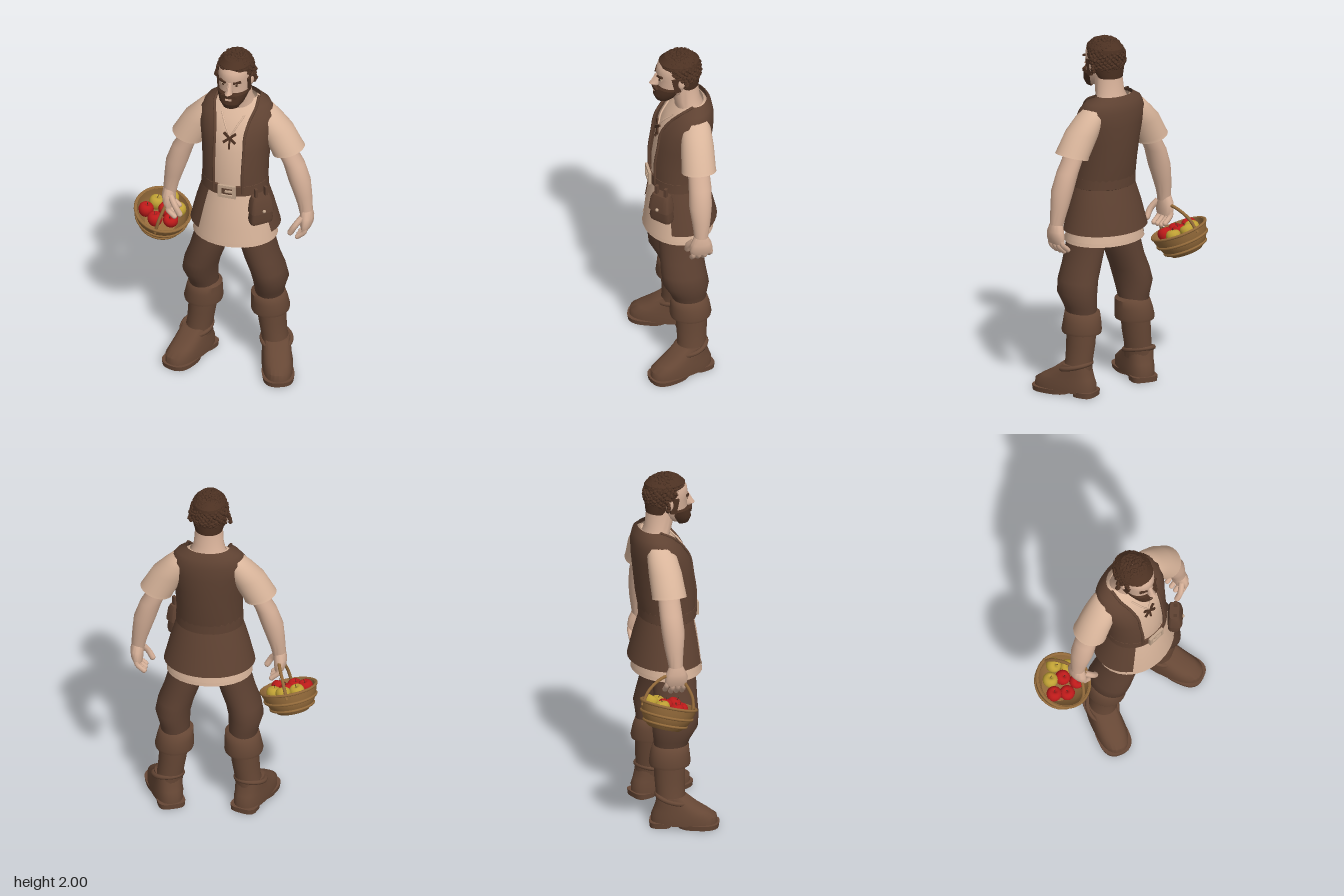
import * as THREE from 'three';
import { mergeGeometries, toCreasedNormals } from 'three/addons/utils/BufferGeometryUtils.js';

const material = (name, color, side = THREE.FrontSide) => {
  const m = new THREE.MeshStandardMaterial({ color, side });
  m.name = name;
  return m;
};
const M = {
  skin: material('skin', 0xd6b098),
  linen: material('linen', 0xd9b59b, THREE.DoubleSide),
  leather: material('leather', 0x5f4232, THREE.DoubleSide),
  trousers: material('trousers', 0x5c4031),
  boot: material('boot leather', 0x664735, THREE.DoubleSide),
  hair: material('hair', 0x4c3122, THREE.DoubleSide),
  wicker: material('wicker', 0x936a3a, THREE.DoubleSide),
  red: material('red apple', 0xbd1a1a),
  yellow: material('yellow apple', 0xbfa034),
  buckle: material('buckle', 0xc2a58c),
};

const TAU = Math.PI * 2;

function add(parent, name, geometry, mat, pos = [0, 0, 0], rot = [0, 0, 0]) {
  const mesh = new THREE.Mesh(geometry, mat);
  mesh.name = name;
  mesh.position.set(...pos);
  mesh.rotation.set(...rot);
  parent.add(mesh);
  return mesh;
}

// Skin through elliptical rings listed bottom to top: [x, y, z, rx, rz, startAngle, endAngle, tilt]
// Angle 0 points to the front and grows towards +x; s = -1 mirrors the path.
function loft(rings, { s = 1, caps = false, power = 1, seg = 28, crease = 0.9 } = {}) {
  const pos = [], idx = [], row = seg + 1;
  const bend = v => Math.sign(v) * Math.abs(v) ** power;
  for (const [x, y, z, rx, rz, a = 0, b = TAU, tilt = 0] of rings) {
    for (let j = 0; j <= seg; j++) {
      const t = a + (b - a) * j / seg, dx = rx * bend(Math.sin(t));
      pos.push(x * s + dx, y + tilt * s * dx, z + rz * bend(Math.cos(t)));
    }
  }
  for (let i = 0; i < rings.length - 1; i++) for (let j = 0; j < seg; j++) {
    const p = i * row + j, q = p + row;
    idx.push(p, p + 1, q + 1, p, q + 1, q);
  }
  if (caps) {
    const n = rings.length, c = pos.length / 3, top = (n - 1) * row;
    for (const [x, y, z] of [rings[0], rings[n - 1]]) pos.push(x * s, y, z);
    for (let j = 0; j < seg; j++) idx.push(c, j + 1, j, c + 1, top + j, top + j + 1);
  }
  const g = new THREE.BufferGeometry();
  g.setAttribute('position', new THREE.Float32BufferAttribute(pos, 3));
  g.setIndex(idx);
  return toCreasedNormals(g, crease);
}

const tube = (points, r, seg = 12) => new THREE.TubeGeometry(
  new THREE.CatmullRomCurve3(points.map(p => new THREE.Vector3(...p))), seg, r, 8);

function addTorso(body) {
  const torso = [[0, 1.17, .025, .165, .135], [0, 1.3, .015, .165, .148], [0, 1.42, 0, .175, .145],
    [0, 1.52, -.015, .19, .14], [0, 1.6, -.04, .19, .115], [0, 1.645, -.055, .155, .09], [0, 1.68, -.06, .1, .06]];
  add(body, 'shirt', loft(torso), M.linen);
  add(body, 'shirtSkirt', loft([[0, .85, .02, .232, .19], [0, .95, .022, .215, .178],
    [0, 1.07, .025, .19, .158], [0, 1.18, .025, .165, .137]]), M.linen);
  add(body, 'shirtHem', loft([[0, .848, .02, .236, .194], [0, .868, .02, .233, .192]]), M.linen);

  // Open vest follows the shirt a little further out
  const open = [.46, .46, .45, .42, .5, .75, 1.35];
  const vest = torso.map(([x, y, z, rx, rz], i) =>
    [x, y + (i > 4 ? .012 : .005), z, rx + .018, rz + .018, open[i], TAU - open[i]]);
  add(body, 'vest', loft(vest), M.leather);
  for (const s of [-1, 1]) {
    const edge = vest.map(([, y, z, rx, rz, a]) => [s * rx * Math.sin(a), y, z + rz * Math.cos(a)]);
    add(body, 'vestEdge', tube(edge, .008, 30), M.leather);
  }
  add(body, 'vestSkirt', loft([[0, .915, .015, .25, .207, 1.15, TAU - .72], [0, 1.05, .02, .216, .18, 1.1, TAU - .7],
    [0, 1.17, .025, .18, .15, .95, TAU - .68]]), M.leather);

  // Belt and square buckle
  add(body, 'belt', loft([[0, 1.155, .025, .178, .15], [0, 1.16, .025, .186, .158],
    [0, 1.218, .023, .184, .158], [0, 1.223, .023, .176, .15]]), M.leather);
  const frame = new THREE.Shape([[-.05, -.038], [.05, -.038], [.05, .038], [-.05, .038]].map(p => new THREE.Vector2(...p)));
  frame.holes.push(new THREE.Path([[-.033, -.022], [-.033, .022], [.033, .022], [.033, -.022]].map(p => new THREE.Vector2(...p))));
  add(body, 'buckle', new THREE.ExtrudeGeometry(frame, { depth: .015, bevelEnabled: false }), M.buckle, [0, 1.19, .177]);
  add(body, 'bucklePin', new THREE.BoxGeometry(.05, .01, .012), M.buckle, [.015, 1.19, .186]);

  // Neck lacing
  for (const r of [-.7, .7]) add(body, 'lace', new THREE.BoxGeometry(.09, .014, .008), M.hair, [0, 1.505, .133], [-.2, 0, r]);
  add(body, 'laceEnd', new THREE.BoxGeometry(.009, .06, .008), M.hair, [0, 1.47, .139], [-.2, 0, 0]);
  for (const s of [-1, 1]) add(body, 'neckline', tube([[s * .065, 1.62, .058], [s * .03, 1.565, .108], [0, 1.51, .128]], .005), M.linen);

  // Belt pouch
  const pouch = new THREE.Group();
  pouch.name = 'pouch';
  pouch.position.set(.18, 1.09, .145);
  pouch.rotation.y = .75;
  add(pouch, 'pouchBag', loft([[0, -.085, 0, .062, .03], [0, -.06, 0, .067, .036], [0, .07, 0, .05, .025]],
    { caps: true, power: .45 }), M.leather);
  add(pouch, 'pouchFlap', loft([[0, -.01, .004, .068, .042], [0, .06, .002, .06, .035], [0, .085, 0, .05, .026]],
    { caps: true, power: .45 }), M.leather);
  add(pouch, 'pouchButton', new THREE.SphereGeometry(.01, 10, 8), M.buckle, [0, .005, .046]);
  for (const x of [-.03, .03]) add(pouch, 'pouchStrap', new THREE.BoxGeometry(.016, .07, .02), M.leather, [x, .1, .005]);
  body.add(pouch);
}

function addArm(body, s) {
  add(body, 'sleeve', loft([[.285, 1.38, -.04, .088, .096, 0, TAU, .3], [.278, 1.395, -.04, .086, .094, 0, TAU, .3],
    [.218, 1.5, -.045, .088, .09, 0, TAU, .25], [.165, 1.58, -.05, .082, .08], [.14, 1.625, -.055, .06, .06],
    [.13, 1.645, -.055, .02, .02]], { s }), M.linen);
  add(body, 'arm', loft([[.388, .99, -.03, .036, .036], [.38, 1.05, -.033, .042, .043], [.368, 1.11, -.035, .05, .052],
    [.348, 1.2, -.035, .061, .063], [.315, 1.3, -.04, .059, .062], [.283, 1.36, -.04, .056, .06],
    [.25, 1.46, -.04, .055, .06]], { s, caps: true }), M.skin);
  add(body, 'palm', loft([[.388, .905, -.03, .026, .058], [.392, .935, -.03, .034, .064],
    [.393, .975, -.03, .037, .056], [.389, 1.015, -.03, .034, .038]], { s, caps: true }), M.skin);
  const digit = (name, points, r) => {
    const path = points.map(([x, y, z]) => [s * x, y, z]);
    add(body, name, tube(path, r), M.skin);
    add(body, name + 'Tip', new THREE.SphereGeometry(r, 8, 6), M.skin, path[path.length - 1]);
  };
  for (let i = 0; i < 4; i++) {
    const z = .012 - i * .03, up = i === 3 ? .015 : 0;
    digit('finger', [[.392, .93, z], [.388, .89 + up, z * 1.05], [.35, .853 + up, z * 1.05]], .0145);
  }
  digit('thumb', [[.375, .98, .005], [.34, .93, .03], [.315, .885, .03]], .017);
}

function addLeg(body, s) {
  add(body, 'trouserLeg', loft([[.185, .43, -.01, .075, .085], [.19, .5, 0, .083, .102], [.2, .57, .015, .096, .126],
    [.185, .64, .025, .098, .125], [.155, .72, .03, .098, .12], [.118, .85, .032, .1, .12], [.1, 1.05, .03, .09, .1]],
    { s, caps: true }), M.trousers);
  add(body, 'bootCuff', loft([[.19, .37, -.012, .07, .08], [.19, .35, -.012, .104, .112], [.19, .365, -.012, .107, .115],
    [.185, .42, -.01, .1, .108], [.18, .462, -.005, .094, .1], [.18, .475, -.005, .075, .085]], { s }), M.boot);
  add(body, 'bootShaft', loft([[.222, .12, -.01, .076, .085], [.21, .2, -.015, .072, .08],
    [.2, .28, -.015, .076, .085], [.193, .37, -.015, .079, .086]], { s }), M.boot);
  const foot = new THREE.Group();
  foot.name = 'foot';
  foot.position.set(s * .228, 0, 0);
  foot.rotation.y = s * .35;
  add(foot, 'bootFoot', loft([[0, .02, .058, .084, .182], [0, .065, .056, .085, .18], [0, .095, .04, .08, .152],
    [0, .13, .015, .078, .115], [0, .175, -.01, .072, .08]], { caps: true, power: .8 }), M.boot);
  add(foot, 'sole', loft([[0, 0, .135, .085, .112], [0, .027, .135, .089, .116]], { caps: true, power: .75 }), M.boot);
  add(foot, 'heel', loft([[0, 0, -.07, .073, .06], [0, .03, -.07, .076, .063]], { caps: true, power: .6 }), M.boot);
  const strap = add(foot, 'ankleStrap', new THREE.TorusGeometry(.08, .013, 8, 28), M.boot, [0, .16, -.004], [Math.PI / 2 + .25, 0, 0]);
  strap.scale.y = 1.12;
  body.add(foot);
}

function addHead(body) {
  add(body, 'neck', loft([[0, 1.6, -.045, .12, .085], [0, 1.66, -.04, .095, .075], [0, 1.7, -.025, .082, .075],
    [0, 1.8, -.01, .075, .08]], { caps: true }), M.skin);
  add(body, 'head', loft([[0, 1.715, .085, .04, .04], [0, 1.75, .055, .07, .08], [0, 1.8, .035, .083, .1],
    [0, 1.85, .03, .086, .102], [0, 1.875, .03, .087, .11], [0, 1.92, .025, .088, .108], [0, 1.96, .02, .07, .085],
    [0, 1.98, .015, .03, .04]], { caps: true }), M.skin);
  add(body, 'nose', loft([[0, 1.798, .14, .017, .02], [0, 1.808, .145, .022, .036], [0, 1.83, .135, .014, .032],
    [0, 1.868, .128, .012, .018]], { caps: true, seg: 10 }), M.skin);
  for (const s of [-1, 1]) {
    add(body, 'ear', new THREE.SphereGeometry(.022, 12, 10), M.skin, [s * .092, 1.84, .015]).scale.set(.5, 1.5, 1);
    add(body, 'eye', new THREE.BoxGeometry(.026, .01, .008), M.buckle, [s * .037, 1.85, .124], [0, s * .35, 0]);
    add(body, 'pupil', new THREE.BoxGeometry(.01, .01, .008), M.hair, [s * .037, 1.85, .126], [0, s * .35, 0]);
    add(body, 'eyebrow', new THREE.BoxGeometry(.045, .01, .012), M.hair, [s * .042, 1.871, .129], [0, s * .4, s * .15]);
    add(body, 'sideburn', new THREE.BoxGeometry(.012, .09, .035), M.hair, [s * .087, 1.83, .045], [.2, 0, 0]);
    add(body, 'moustache', new THREE.BoxGeometry(.045, .017, .02), M.hair, [s * .022, 1.787, .148], [0, s * .35, -s * .3]);
  }
  add(body, 'beard', loft([[0, 1.698, .105, .01, .01, -2, 2], [0, 1.705, .1, .045, .045, -2, 2],
    [0, 1.735, .085, .068, .072, -1.9, 1.9], [0, 1.77, .06, .084, .094, -1.75, 1.75],
    [0, 1.79, .05, .09, .098, -1.6, 1.6], [0, 1.803, .045, .087, .09, -1.5, 1.5]], { crease: .4 }), M.hair);
  add(body, 'lips', new THREE.BoxGeometry(.034, .009, .008), M.skin, [0, 1.767, .154]);

  // Scalp shell and faceted curls scattered over it
  add(body, 'hairShell', loft([[0, 1.78, -.02, .075, .075, 1.6, TAU - 1.6], [0, 1.83, 0, .092, .1, 1.5, TAU - 1.5],
    [0, 1.89, .01, .098, .112, 1.1, TAU - 1.1], [0, 1.93, .012, .095, .114, .5, TAU - .5], [0, 1.945, .013, .09, .112],
    [0, 1.975, .013, .062, .08], [0, 1.992, .013, .01, .01]], { crease: .3 }), M.hair);
  let seed = 7;
  const rand = () => (seed = (seed * 16807) % 2147483647) / 2147483647;
  const curls = [], dummy = new THREE.Object3D(), count = 330;
  for (let i = 0; i < count; i++) {
    const h = 1 - 1.95 * (i + .5) / count, a = i * 2.39996, r = Math.sqrt(1 - h * h);
    const dir = new THREE.Vector3(r * Math.sin(a), h, r * Math.cos(a));
    const p = new THREE.Vector3(dir.x * .098, 1.882 + dir.y * .108, .01 + dir.z * .115);
    const hairline = 1.785 + .15 * THREE.MathUtils.clamp((p.z + .01) / .07, 0, 1);
    if (p.y < hairline) continue;
    dummy.position.copy(p);
    dummy.lookAt(p.clone().add(dir));
    dummy.rotateZ(rand() * TAU);
    dummy.scale.set(.012 + rand() * .008, .009 + rand() * .005, .008 + rand() * .006);
    dummy.updateMatrix();
    curls.push(new THREE.IcosahedronGeometry(1, 0).applyMatrix4(dummy.matrix));
  }
  for (const s of [-1, 1]) for (let i = 0; i < 5; i++)
    curls.push(new THREE.IcosahedronGeometry(.014, 0).translate(s * (.1 + rand() * .016), 1.82 + i * .016, -.02 + rand() * .03));
  add(body, 'hairCurls', mergeGeometries(curls), M.hair);
}

function createBasket() {
  const basket = new THREE.Group();
  basket.name = 'basket';
  basket.position.set(-.363, .82, -.085);
  basket.rotation.set(.28, 0, -.22);
  const lathe = (pts, seg = 32) => toCreasedNormals(new THREE.LatheGeometry(pts.map(p => new THREE.Vector2(...p)), seg), .6);
  add(basket, 'basketBowl', lathe([[0, -.122], [.07, -.122], [.075, -.135], [.09, -.135], [.118, -.108], [.138, -.07],
    [.15, -.03], [.157, 0], [.145, 0], [.138, -.03], [.125, -.07], [.085, -.115], [0, -.115]]), M.wicker);
  for (const [r, y] of [[.154, -.004], [.142, -.06], [.119, -.107]])
    add(basket, 'basketBand', new THREE.TorusGeometry(r, .008, 8, 36), M.wicker, [0, y, 0], [Math.PI / 2, 0, 0]);
  add(basket, 'basketHandle', tube([[0, -.03, .15], [.005, .06, .125], [.02, .145, .04], [.02, .145, -.04],
    [.005, .06, -.125], [0, -.03, -.15]], .009, 28), M.wicker);

  // Apples with a dimple and a stem
  const apple = [[0, -.032], [.014, -.038], [.032, -.024], [.042, .004], [.036, .028], [.02, .038], [.007, .033], [0, .026]];
  const spots = [['yellow', -.05, -.05], ['yellow', .08, -.04], ['yellow', .02, -.1], ['red', -.025, .065],
    ['red', .012, -.015], ['red', .06, .05], ['red', -.09, .02]];
  spots.forEach(([color, x, z], i) => {
    const g = new THREE.LatheGeometry(new THREE.SplineCurve(apple.map(p => new THREE.Vector2(...p))).getPoints(16), 18);
    const fruit = add(basket, color + 'Apple', g, M[color], [x, -.022 + (i % 3) * .006, z], [.3 * (i % 3 - 1), 0, .25 * (i % 2)]);
    add(fruit, 'stem', new THREE.CylinderGeometry(.002, .002, .025, 6), M.hair, [0, .038, 0]);
  });
  return basket;
}

export function createModel() {
  const model = new THREE.Group();
  model.name = 'villager';
  const body = new THREE.Group();
  body.name = 'body';
  body.position.x = .08;
  model.add(body);
  addTorso(body);
  add(body, 'trouserSeat', loft([[0, .87, .03, .1, .09], [0, .93, .025, .17, .12], [0, 1.1, .025, .15, .12]], { caps: true }), M.trousers);
  for (const s of [-1, 1]) {
    addArm(body, s);
    addLeg(body, s);
  }
  addHead(body);
  model.add(createBasket());
  return model;
}
